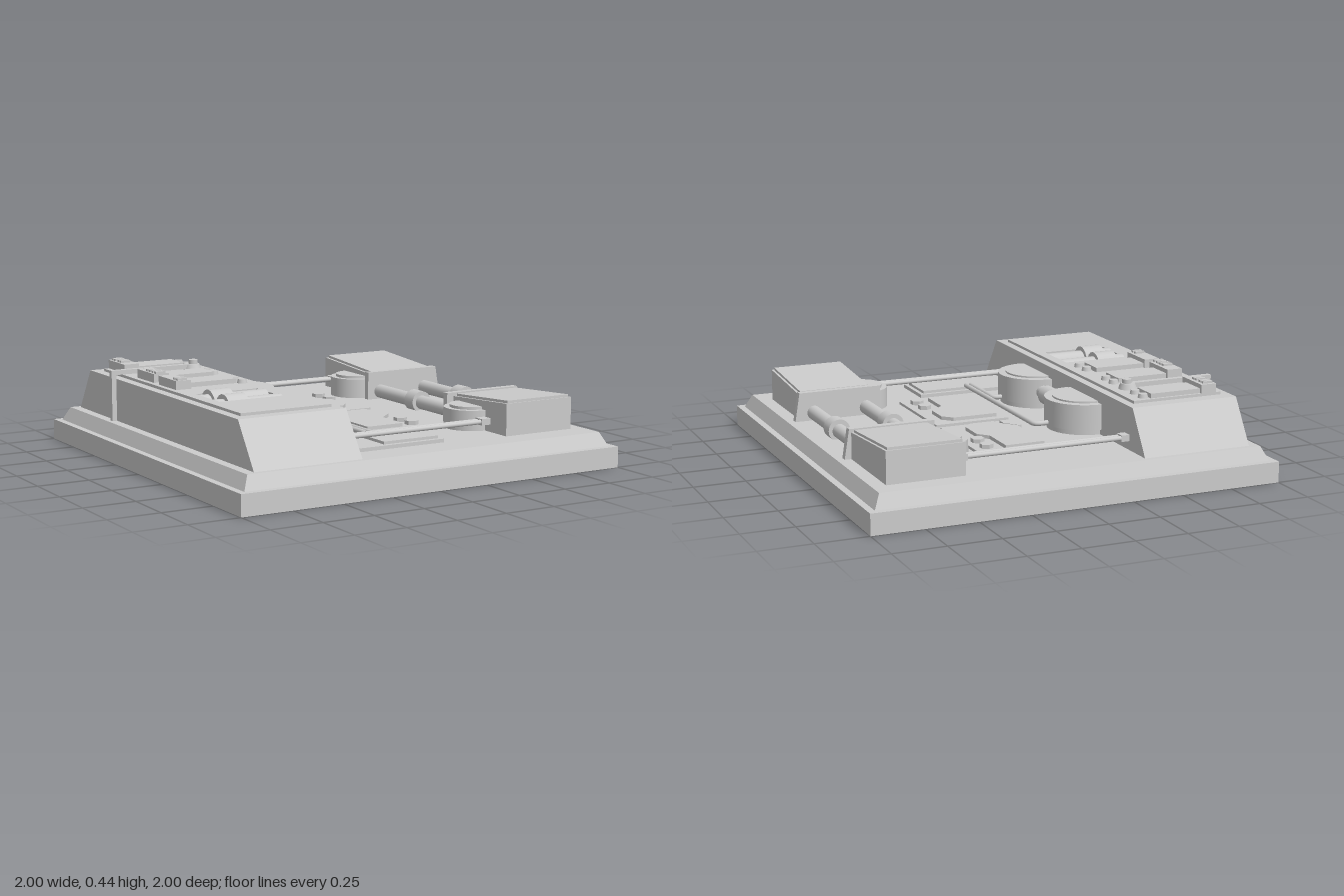
import * as THREE from 'three';

const material = new THREE.MeshStandardMaterial({ color: 0xcccccc });

export function createModel() {
  const model = new THREE.Group();
  const deck = 0.165; // height of the main floor

  function add(name, geometry, x = 0, y = 0, z = 0) {
    const mesh = new THREE.Mesh(geometry, material);
    mesh.name = name;
    mesh.position.set(x, y, z);
    model.add(mesh);
    return mesh;
  }
  // Box given by its limits on each axis
  function box(name, x0, x1, y0, y1, z0, z1) {
    return add(name, new THREE.BoxGeometry(x1 - x0, y1 - y0, z1 - z0),
      (x0 + x1) / 2, (y0 + y1) / 2, (z0 + z1) / 2);
  }
  // Upright cylinder or cone
  function drum(name, x, z, y0, y1, r, rTop = r, sides = 48) {
    return add(name, new THREE.CylinderGeometry(rTop, r, y1 - y0, sides), x, (y0 + y1) / 2, z);
  }
  // Cylinder lying along x or z, from a to b
  function rodX(name, a, b, y, z, r) {
    add(name, new THREE.CylinderGeometry(r, r, b - a, 24).rotateZ(Math.PI / 2), (a + b) / 2, y, z);
  }
  function rodZ(name, a, b, x, y, r) {
    add(name, new THREE.CylinderGeometry(r, r, b - a, 24).rotateX(Math.PI / 2), x, y, (a + b) / 2);
  }
  const shapeOf = (points) => new THREE.Shape(points.map(([a, b]) => new THREE.Vector2(a, b)));
  const extrude = (shape, depth) => new THREE.ExtrudeGeometry(shape, { depth, bevelEnabled: false });
  // Outline in (z, y) extruded across x0..x1
  function sideProfile(name, points, x0, x1) {
    return add(name, extrude(shapeOf(points), x1 - x0).rotateY(-Math.PI / 2), x1);
  }
  // Outline in (x, z) raised from y0 to y1, with an optional hole
  function plate(name, points, y0, y1, hole) {
    const flip = (list) => list.map(([x, z]) => [x, -z]);
    const shape = shapeOf(flip(points));
    if (hole) shape.holes.push(shapeOf(flip(hole)));
    return add(name, extrude(shape, y1 - y0).rotateX(-Math.PI / 2), 0, y0);
  }
  const rect = (x0, x1, z0, z1) => [[x0, z0], [x1, z0], [x1, z1], [x0, z1]];

  // Base slab and bevelled floor
  box('baseSlab', -1, 1, 0, 0.1, -1, 1);
  const floor = new THREE.CylinderGeometry(0.935 * Math.SQRT2, 0.967 * Math.SQRT2, deck - 0.1, 4, 1)
    .rotateY(Math.PI / 4).toNonIndexed();
  floor.computeVertexNormals();
  add('bevelledFloor', floor, 0, (0.1 + deck) / 2, 0);

  // Long console with sloped ends; its middle strip is notched for the recess
  const top = 0.37;
  const solid = [[0.91, deck], [0.77, top], [-0.78, top], [-0.91, deck]];
  const notched = [[0.91, deck], [0.77, top], [0.41, top], [0.41, 0.26], [0.11, 0.26], [0.11, top],
    [-0.78, top], [-0.91, deck]];
  sideProfile('consoleOuterSide', solid, -0.89, -0.79);
  sideProfile('consoleMiddle', notched, -0.79, -0.44);
  sideProfile('consoleInnerSide', solid, -0.44, -0.35);
  plate('consoleTopPlate', rect(-0.845, -0.39, -0.715, 0.71), top, 0.383, rect(-0.79, -0.44, 0.11, 0.41));

  // Canisters lying in the recess
  for (const z of [0.19, 0.335]) {
    rodX('canister', -0.79, -0.44, 0.328, z, 0.052);
    rodX('canisterSleeve', -0.735, -0.63, 0.328, z, 0.073);
  }

  // Control panels: plate, switch block, buttons and two knobs
  const panels = [
    { z: -0.635, knobs: [-0.67, -0.59], buttons: [-0.69, -0.665, -0.625, -0.6] },
    { z: -0.305, knobs: [-0.37, -0.29], buttons: [-0.3, -0.27, -0.24, -0.21] },
    { z: -0.07, knobs: [-0.08, 0.005], buttons: [-0.01, 0.018] },
  ];
  for (const { z, knobs, buttons } of panels) {
    box('controlPlate', -0.745, -0.485, 0.38, 0.405, z - 0.067, z + 0.067);
    box('switchBlock', -0.82, -0.742, 0.38, 0.425, z - 0.08, z + 0.103);
    for (const b of buttons) box('button', -0.81, -0.76, 0.425, 0.435, b - 0.009, b + 0.009);
    for (const k of knobs) drum('controlKnob', -0.46, k, 0.38, 0.402, 0.025, 0.02, 12);
  }

  // Strap that runs over the console and down its outer side
  box('strapTop', -0.914, -0.5, 0.388, 0.41, -0.5, -0.474);
  box('strapSide', -0.914, -0.89, deck, 0.41, -0.5, -0.474);
  drum('strapStud', -0.475, -0.487, 0.38, 0.41, 0.045, 0.035, 24);
  drum('strapStudCap', -0.47, -0.487, 0.41, 0.43, 0.022, 0.022, 24);

  // Round tanks beside the console, joined by a coupling
  for (const z of [-0.28, 0.27]) {
    drum('tankFoot', -0.345, z, deck, 0.19, 0.175);
    drum('tank', -0.345, z, 0.19, 0.313, 0.187);
    drum('tankLid', -0.345, z, 0.313, 0.321, 0.15);
  }
  rodZ('tankCoupling', -0.14, 0.13, -0.305, 0.25, 0.033);
  rodZ('tankCouplingSleeve', -0.05, 0.03, -0.297, 0.25, 0.047);

  // Bent pipes from the tanks to the junction plates
  for (const [startZ, x] of [[-0.28, -0.088], [0.27, -0.115]]) {
    const at = (px, pz) => new THREE.Vector3(px, 0.2, pz);
    const path = new THREE.CurvePath();
    path.add(new THREE.LineCurve3(at(-0.18, startZ), at(x - 0.03, startZ)));
    path.add(new THREE.QuadraticBezierCurve3(at(x - 0.03, startZ), at(x, startZ), at(x, startZ + 0.03)));
    path.add(new THREE.LineCurve3(at(x, startZ + 0.03), at(x, 0.56)));
    add('tankPipe', new THREE.TubeGeometry(path, 80, 0.012, 10));
  }
  box('junctionPlate', -0.35, 0.17, deck, 0.182, 0.53, 0.775);
  box('junctionCover', -0.14, 0.15, 0.182, 0.195, 0.55, 0.752);

  // Twin rods from the console to the end blocks
  for (const z of [-0.73, 0.682]) {
    for (const dz of [-0.013, 0.013]) rodX('twinRod', -0.36, 0.46, 0.222, z + dz, 0.011);
  }
  box('rodSocket', 0.425, 0.475, 0.207, 0.237, 0.657, 0.708);
  box('rodSocket', 0.45, 0.51, 0.207, 0.237, -0.755, -0.705);
  box('rodSocket', -0.35, -0.31, 0.207, 0.237, -0.755, -0.705);

  // End blocks with sloped tops, half drums and end brackets
  for (const { s, outer, inner, drumZ, bracket } of [
    { s: 1, outer: 0.805, inner: 0.37, drumZ: 0.51, bracket: 0.328 },
    { s: -1, outer: 0.84, inner: 0.395, drumZ: -0.54, bracket: -0.392 },
  ]) {
    const ordered = (pts) => (s > 0 ? pts : pts.map(([z, y]) => [-z, y]).reverse());
    sideProfile('endBlock', ordered([[outer, deck], [outer, 0.318], [inner, 0.29], [inner, deck]]), 0.495, 0.868);
    sideProfile('endBlockLid', ordered([[outer - 0.01, 0.3], [outer - 0.01, 0.33],
      [inner + 0.01, 0.302], [inner + 0.01, 0.28]]), 0.508, 0.857);
    drum('sideDrum', 0.497, drumZ, deck, 0.262, 0.127);
    drum('sideDrumLid', 0.497, drumZ, 0.262, 0.275, 0.1);
    const frame = shapeOf([[0.465, deck], [0.9, deck], [0.877, 0.305], [0.465, 0.305]]);
    add('endBracket', extrude(frame, 0.033), 0, 0, bracket);
  }

  // Long rods with sleeves between the brackets
  for (const x of [0.537, 0.805]) {
    rodZ('longRod', -0.37, 0.34, x, 0.204, 0.034);
    rodZ('longRodSleeve', -0.047, 0.028, x, 0.206, 0.053);
  }

  // Floor panels with raised covers and hexagonal bolts
  plate('floorPanelBack', rect(-0.06, 0.315, -0.59, -0.095), deck, 0.178);
  plate('raisedCoverBack', [[-0.015, -0.555], [0.18, -0.555], [0.18, -0.37], [0.225, -0.32], [0.225, -0.185],
    [0.18, -0.135], [0.06, -0.135], [0.06, -0.165], [-0.015, -0.25]], 0.178, 0.195);
  plate('cornerCover', [[-0.035, -0.25], [-0.02, -0.25], [0.03, -0.185], [0.03, -0.138], [-0.035, -0.138]],
    0.178, 0.195);
  plate('floorPanelFront', rect(-0.06, 0.315, -0.04, 0.46), deck, 0.178);
  plate('raisedCoverFront', [[-0.015, 0], [0.21, 0], [0.255, 0.045], [0.255, 0.165], [0.18, 0.235],
    [0.18, 0.41], [-0.015, 0.41]], 0.178, 0.195);
  for (const z of [-0.495, -0.39, 0.28, 0.38]) {
    const bolt = new THREE.CylinderGeometry(0.033, 0.033, 0.02, 6).toNonIndexed();
    bolt.computeVertexNormals();
    add('hexBolt', bolt, 0.25, 0.187, z);
  }
  return model;
}
